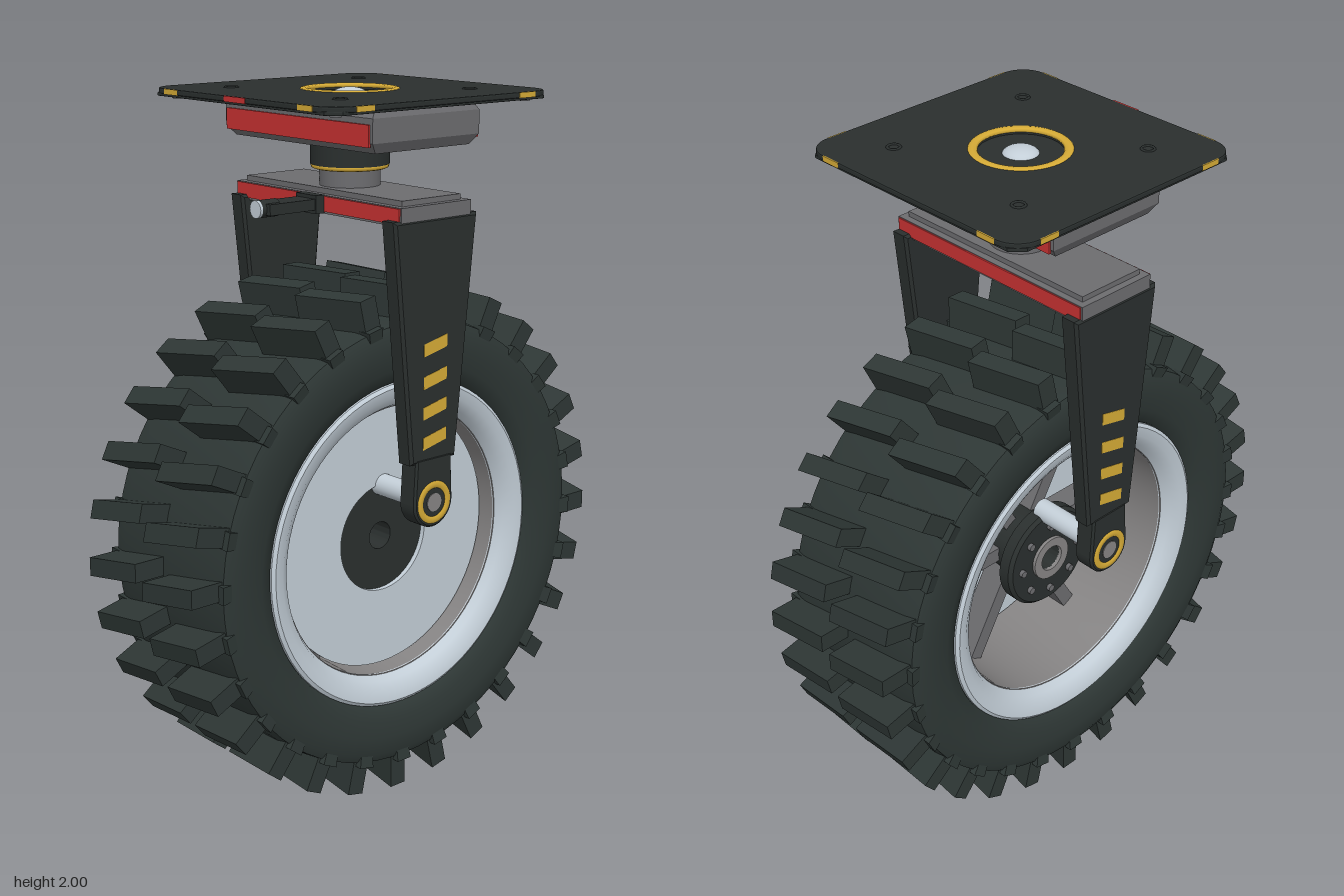
import * as THREE from 'three';
import { mergeGeometries, toCreasedNormals } from 'three/addons/utils/BufferGeometryUtils.js';

const mat = (name, color, side = THREE.FrontSide) => {
  const m = new THREE.MeshStandardMaterial({ color, side });
  m.name = name;
  return m;
};

export function createModel() {
  const rubber = mat('rubber', 0x2e3735);
  const frame = mat('darkFrame', 0x2a2f2e);
  const grey = mat('grey', 0x6c6c6f);
  const steel = mat('barrelGrey', 0x868484, THREE.DoubleSide);
  const silver = mat('silver', 0xc3ced7, THREE.DoubleSide);
  const red = mat('red', 0xc83232);
  const gold = mat('gold', 0xd6ab36, THREE.DoubleSide);

  const model = new THREE.Group();
  model.name = 'casterWheel';
  const add = (name, geo, material, x = 0, y = 0, z = 0, parent = model) => {
    const mesh = new THREE.Mesh(geo, material);
    mesh.name = name;
    mesh.position.set(x, y, z);
    parent.add(mesh);
    return mesh;
  };
  const box = (w, h, d) => new THREE.BoxGeometry(w, h, d);
  const cyl = (r, h, n = 32) => new THREE.CylinderGeometry(r, r, h, n);
  // profile of [radius, x] pairs turned around the x axis
  const turned = (pts, crease = 0.6) => toCreasedNormals(
    new THREE.LatheGeometry(pts.map(p => new THREE.Vector2(...p)), 72).rotateZ(-Math.PI / 2), crease);
  // box whose vertices are moved by a rule, with flat faces
  const shaped = (w, h, d, ny, rule) => {
    const g = new THREE.BoxGeometry(w, h, d, 1, ny, 1).toNonIndexed();
    const p = g.attributes.position, v = new THREE.Vector3();
    for (let i = 0; i < p.count; i++) {
      rule(v.fromBufferAttribute(p, i));
      p.setXYZ(i, v.x, v.y, v.z);
    }
    g.computeVertexNormals();
    return g;
  };
  // outline in (z, y), extruded along x and centred on x = 0
  const sidePart = (shape, depth, bevel) => {
    const g = new THREE.ExtrudeGeometry(shape, {
      depth: depth - 2 * bevel, bevelEnabled: bevel > 0, bevelSize: bevel, bevelThickness: bevel,
      bevelOffset: -bevel, bevelSegments: 1, curveSegments: 20 });
    return g.translate(0, 0, -(depth - 2 * bevel) / 2).rotateY(-Math.PI / 2);
  };
  const polygon = pts => new THREE.Shape(pts.map(p => new THREE.Vector2(...p)));

  // ---- wheel ----
  const wheel = new THREE.Group();
  wheel.name = 'wheel';
  wheel.position.y = 0.742;
  model.add(wheel);
  const half = [[0.465, 0.2], [0.482, 0.235], [0.52, 0.25], [0.57, 0.257], [0.62, 0.256], [0.643, 0.245], [0.65, 0.2]];
  add('tyre', turned([...half.map(([r, x]) => [r, -x]), ...half.slice().reverse()], 0.9), rubber, 0, 0, 0, wheel);

  // slanted tread blocks in two rows, with shoulder lugs on the sidewalls
  const COUNT = 28, blocks = [], lugs = [];
  for (let i = 0; i < COUNT; i++) {
    const a = i * 2 * Math.PI / COUNT;
    for (const s of [-1, 1]) {
      blocks.push(shaped(0.225, 0.12, 0.054, 1, v => {
        v.z -= v.x * 0.19;
      }).translate(s * 0.1275, 0.68, 0).rotateX(a));
      lugs.push(shaped(0.06, 0.07, 0.05, 1, v => {
        if (v.y < 0) { v.x -= s * 0.014; v.z *= 0.8; }
      }).translate(s * 0.231, 0.619, -s * 0.015).rotateX(a));
    }
  }
  add('treadBlocks', mergeGeometries(blocks), rubber, 0, 0, 0, wheel);
  add('shoulderLugs', mergeGeometries(lugs), rubber, 0, 0, 0, wheel);

  // rim: grey barrel with a bright flange on each side
  add('rimBarrel', turned([[0.465, -0.205], [0.465, 0.205], [0.398, 0.195], [0.395, 0.1], [0.395, -0.1],
    [0.398, -0.195], [0.465, -0.205]]), steel, 0, 0, 0, wheel);
  for (const s of [-1, 1]) {
    add('rimFlange', turned([[0.397, s * 0.19], [0.478, s * 0.2], [0.478, s * 0.236], [0.468, s * 0.243],
      [0.44, s * 0.238], [0.412, s * 0.218], [0.397, s * 0.19]], 0.7), silver, 0, 0, 0, wheel);
  }
  add('wheelDisc', turned([[0.16, 0.13], [0.385, 0.13], [0.385, 0.147], [0.16, 0.147], [0.16, 0.13]]),
    silver, 0, 0, 0, wheel);
  add('hub', turned([[0.04, -0.12], [0.148, -0.12], [0.158, -0.11], [0.158, -0.075], [0.1, -0.06], [0.1, 0.11],
    [0.162, 0.11], [0.162, 0.132], [0.04, 0.132], [0.04, -0.12]]), frame, 0, 0, 0, wheel);
  add('hubCollar', turned([[0.04, -0.13], [0.068, -0.13], [0.068, -0.118], [0.04, -0.118], [0.04, -0.13]]),
    steel, 0, 0, 0, wheel);
  for (let i = 0; i < 6; i++) {
    add('spoke', box(0.08, 0.31, 0.045).translate(0.03, 0.245, 0).rotateX(Math.PI / 6 + i * Math.PI / 3),
      grey, 0, 0, 0, wheel);
  }
  for (let i = 0; i < 8; i++) {
    const a = i * Math.PI / 4;
    add('hubBolt', cyl(0.011, 0.016, 8).rotateZ(Math.PI / 2), grey,
      -0.124, 0.112 * Math.cos(a), 0.112 * Math.sin(a), wheel);
  }

  // ---- fork ----
  const AXLE = 0.898;
  const legShape = polygon([[-0.15, 1.685], [-0.083, 1.015], [0.083, 1.015], [0.15, 1.685]]);
  const bossShape = polygon([[0.065, 1.03], [-0.065, 1.03], [-0.072, AXLE]]);
  bossShape.absarc(0, AXLE, 0.072, Math.PI, 2 * Math.PI, false);
  const stripeShape = polygon([[0.042, -0.027], [0.042, 0.008], [-0.042, 0.027], [-0.042, -0.008]]);
  for (const s of [-1, 1]) {
    add('axleStub', cyl(0.032, 0.26).rotateZ(Math.PI / 2), silver, s * 0.215, AXLE, 0);
    add('axleEnd', cyl(0.026, 0.01).rotateZ(Math.PI / 2), steel, s * 0.352, AXLE, 0);
    add('forkLeg', sidePart(legShape, 0.058, 0.008), frame, s * 0.324, 0, 0);
    add('axleBoss', sidePart(bossShape, 0.064, 0.006), frame, s * 0.323, 0, 0);
    add('bossRing', new THREE.TorusGeometry(0.051, 0.011, 8, 32).rotateY(Math.PI / 2).scale(0.4, 1, 1),
      gold, s * 0.354, AXLE, 0);
    for (const y of [1.08, 1.165, 1.25, 1.34])
      add('legStripe', sidePart(stripeShape, 0.002, 0), gold, s * 0.353, y, 0);
    add('crownStripe', box(0.69, 0.042, 0.006), red, 0, 1.697, s * 0.126);
  }
  add('legPad', box(0.036, 0.092, 0.08), red, 0.279, 1.29, 0);
  add('crown', box(0.7, 0.05, 0.25), grey, 0, 1.695, 0);
  add('crownCap', box(0.66, 0.016, 0.21), grey, 0, 1.727, 0);

  // brake lever at the front
  add('leverMount', box(0.085, 0.05, 0.03), frame, 0, 1.697, 0.142);
  add('leverBar', box(0.075, 0.03, 0.17), frame, 0, 1.697, 0.225);
  add('leverGrip', cyl(0.024, 0.06, 20).rotateX(Math.PI / 2), frame, 0, 1.697, 0.293);
  add('leverKnob', cyl(0.024, 0.008, 20).rotateX(Math.PI / 2), silver, 0, 1.697, 0.327);

  // ---- swivel ----
  add('swivelPost', cyl(0.085, 0.07), grey, 0, 1.76, 0);
  add('swivelCollar', cyl(0.11, 0.07), frame, 0, 1.828, 0);
  add('swivelRing', new THREE.TorusGeometry(0.1, 0.009, 8, 40).rotateX(Math.PI / 2), gold, 0, 1.79, 0);
  add('swivelHousing', shaped(0.62, 0.12, 0.38, 3, v => {
    const end = Math.abs(v.y) > 0.05;
    if (end) { v.x *= 0.95; v.z *= 0.88; } else v.y *= 1.6;
  }), grey, 0, 1.918, 0);
  for (const s of [-1, 1]) add('housingPanel', box(0.6, 0.058, 0.008), red, 0, 1.905, s * 0.192);

  // ---- mounting plate ----
  const H = 0.393, R = 0.075, K = H - R, plate = new THREE.Shape();
  plate.absarc(K, K, R, 0, Math.PI / 2);
  plate.absarc(-K, K, R, Math.PI / 2, Math.PI);
  plate.absarc(-K, -K, R, Math.PI, Math.PI * 1.5);
  plate.absarc(K, -K, R, Math.PI * 1.5, Math.PI * 2);
  plate.holes.push(new THREE.Path().absarc(0, 0, 0.115, 0, Math.PI * 2, true));
  const slab = (shape, depth, bevel) => new THREE.ExtrudeGeometry(shape, { depth: depth - 2 * bevel,
    bevelSize: bevel, bevelThickness: bevel, bevelOffset: -bevel, bevelSegments: 2, curveSegments: 12 })
    .translate(0, 0, bevel).rotateX(-Math.PI / 2);
  add('mountingPlate', slab(plate, 0.016, 0.004), frame, 0, 1.98, 0);
  // chamfered frame under the plate
  const octagon = (c, d) => [[c, -d], [c, d], [d, c], [-d, c], [-c, d], [-c, -d], [-d, -c], [d, -c]];
  const backing = polygon(octagon(0.388, 0.355));
  backing.holes.push(polygon(octagon(0.355, 0.33)));
  add('plateBacking', slab(backing, 0.01, 0.002), frame, 0, 1.974, 0);
  add('plateRing', new THREE.TorusGeometry(0.125, 0.014, 8, 48).rotateX(Math.PI / 2).scale(1, 0.5, 1),
    gold, 0, 1.993, 0);
  add('kingpinSeat', cyl(0.12, 0.006), frame, 0, 1.98, 0);
  add('kingpin', new THREE.SphereGeometry(0.05, 24, 16).scale(1, 0.44, 1), silver, 0, 1.978, 0);
  for (const x of [-1, 1]) for (const z of [-1, 1]) {
    add('plateBolt', new THREE.TorusGeometry(0.017, 0.004, 6, 20).rotateX(Math.PI / 2), frame,
      x * 0.23, 1.996, z * 0.23);
    add('plateNut', cyl(0.016, 0.012, 6), grey, x * 0.335, 1.972, z * 0.335);
  }
  for (let i = 0; i < 4; i++) {
    const side = new THREE.Group();
    side.name = 'plateEdgeMarks';
    side.rotation.y = i * Math.PI / 2;
    model.add(side);
    for (const x of [-0.286, 0.286]) add('edgeMark', box(0.06, 0.015, 0.004), gold, x, 1.988, 0.3915, side);
    if (i === 0) add('frontMark', box(0.09, 0.015, 0.006), red, 0, 1.988, 0.392, side);
  }
  return model;
}
